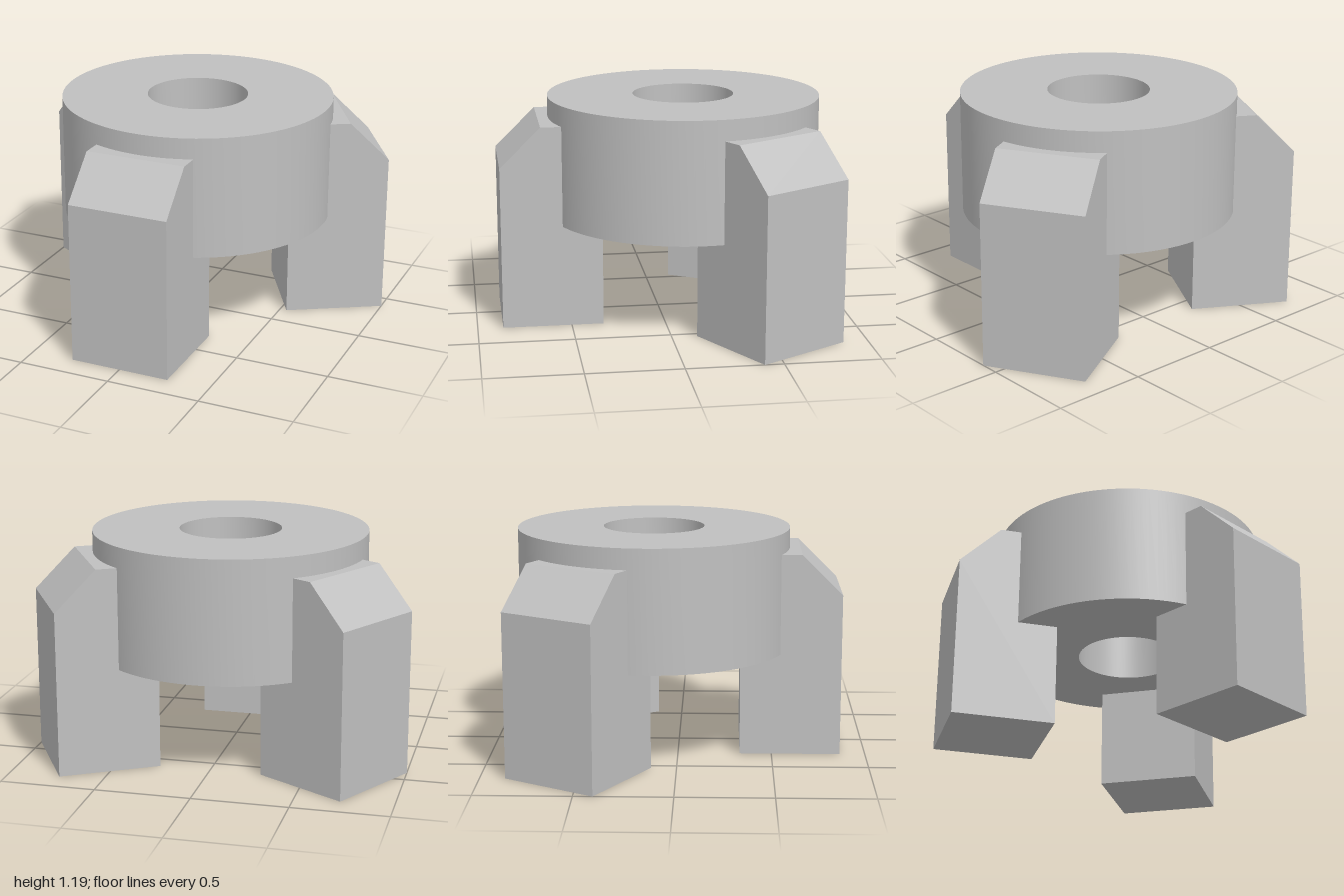
import * as THREE from 'three';
import { toCreasedNormals } from 'three/addons/utils/BufferGeometryUtils.js';

const AXIS_Z = -0.135; // the ring's axis, set back so the three legs are centred

export function createModel() {
  const model = new THREE.Group();
  model.name = 'threeLeggedRing';
  const grey = new THREE.MeshStandardMaterial({ color: 0xc0c0c0 });
  grey.name = 'plain grey';

  const body = new THREE.Group();
  body.name = 'body';
  body.position.z = AXIS_Z;
  model.add(body);

  // Thick ring with a round bore, from a closed rectangular profile
  const profile = [[0.27, 0.545], [0.728, 0.545], [0.728, 1.19], [0.27, 1.19], [0.27, 0.545]]
    .map(([r, y]) => new THREE.Vector2(r, y));
  const ring = new THREE.Mesh(
    toCreasedNormals(new THREE.LatheGeometry(profile, 96), Math.PI / 6), grey);
  ring.name = 'ring';
  body.add(ring);

  // Leg: side outline (radius, height) with a chamfered outer top edge
  const width = 0.54;
  const outline = new THREE.Shape(
    [[0.465, 0], [1, 0], [1, 0.867], [0.785, 1.08], [0.465, 1.08]]
      .map(([r, y]) => new THREE.Vector2(r, y)));
  const legGeometry = new THREE.ExtrudeGeometry(outline, { depth: width, bevelEnabled: false });
  legGeometry.translate(0, 0, -width / 2).rotateY(-Math.PI / 2);

  // Three legs evenly spaced, one facing the front
  ['frontLeg', 'backLeftLeg', 'backRightLeg'].forEach((name, i) => {
    const leg = new THREE.Mesh(legGeometry, grey);
    leg.name = name;
    leg.rotation.y = i * Math.PI * 2 / 3;
    body.add(leg);
  });

  return model;
}
